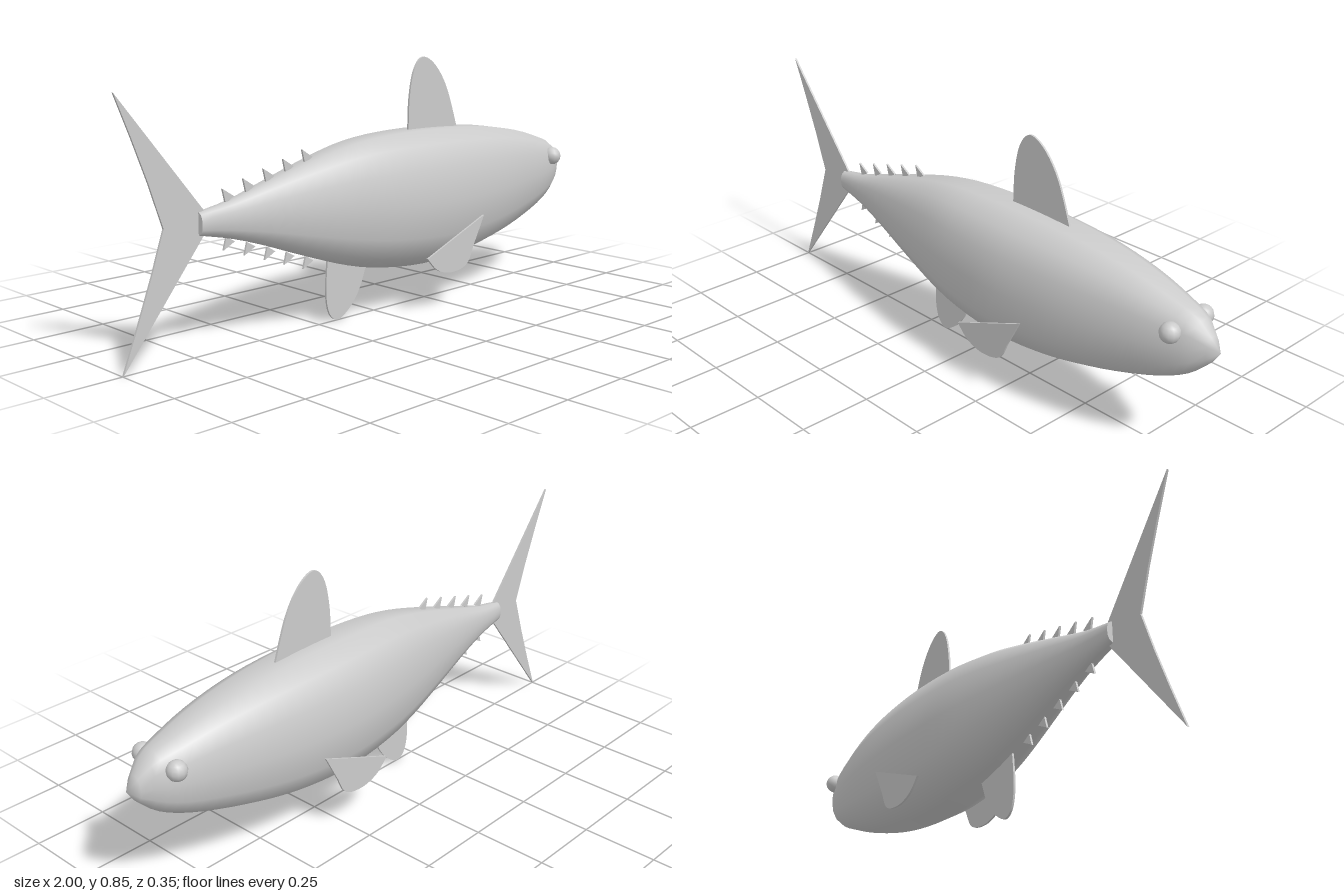
import * as THREE from 'three';
import { mergeVertices } from 'three/addons/utils/BufferGeometryUtils.js';

const material = new THREE.MeshStandardMaterial({ color: 0xcccccc });
const finMaterial = new THREE.MeshStandardMaterial({ color: 0xcccccc, side: THREE.DoubleSide });
const SIDES = 14;
const POWER = 0.85; // slightly squared-off oval section

// x, top height, bottom height, half width
const PROFILE = [
  [-0.725, 0.449, 0.380, 0.024], [-0.607, 0.470, 0.353, 0.038], [-0.473, 0.508, 0.310, 0.063],
  [-0.313, 0.553, 0.251, 0.096], [-0.152, 0.591, 0.198, 0.129], [0, 0.609, 0.166, 0.154],
  [0.195, 0.614, 0.149, 0.170], [0.382, 0.608, 0.160, 0.166], [0.543, 0.594, 0.187, 0.150],
  [0.703, 0.567, 0.230, 0.122], [0.837, 0.530, 0.278, 0.090], [0.928, 0.494, 0.332, 0.055],
  [0.995, 0.412, 0.412, 0],
];

const bend = (v) => Math.sign(v) * Math.abs(v) ** POWER;

// Skin a list of [x, top, bottom, halfWidth] sections running towards +x
function loft(sections) {
  const positions = [], index = [];
  const flat = Math.cos(Math.PI / SIDES) ** POWER;
  sections.forEach(([x, top, bottom, width], i) => {
    const ry = (top - bottom) / 2 / flat;
    for (let j = 0; j < SIDES; j++) {
      const a = ((j + 0.5) / SIDES) * Math.PI * 2;
      positions.push(x, (top + bottom) / 2 + ry * bend(Math.cos(a)), width * bend(Math.sin(a)));
      if (i === sections.length - 1) continue;
      const p = i * SIDES + j, q = i * SIDES + ((j + 1) % SIDES);
      index.push(p, q, p + SIDES, q, q + SIDES, p + SIDES);
    }
  });
  let geometry = new THREE.BufferGeometry();
  geometry.setAttribute('position', new THREE.Float32BufferAttribute(positions, 3));
  geometry.setIndex(index);
  geometry = mergeVertices(geometry, 1e-5);
  geometry.computeVertexNormals();
  return geometry;
}

// Thin plate in the xy plane, centred on z
function plate(shape, thickness = 0.007) {
  const geometry = new THREE.ExtrudeGeometry(shape, { depth: thickness, bevelEnabled: false, curveSegments: 24 });
  return geometry.translate(0, 0, -thickness / 2);
}

// Fin outline: smooth curve through the points, closed by a straight base
function curvedFin(points) {
  const shape = new THREE.Shape();
  shape.moveTo(...points[0]);
  shape.splineThru(points.slice(1).map((p) => new THREE.Vector2(...p)));
  shape.closePath();
  return plate(shape);
}

const polygonFin = (points) => plate(new THREE.Shape(points.map((p) => new THREE.Vector2(...p))));

export function createModel() {
  const group = new THREE.Group();
  const add = (name, geometry, mat = finMaterial, z = 0) => {
    const mesh = new THREE.Mesh(geometry, mat);
    mesh.name = name;
    mesh.position.z = z;
    group.add(mesh);
    return mesh;
  };

  // Body: smooth the profile, keeping the nose a straight cone
  const heights = new THREE.CatmullRomCurve3(PROFILE.map(([x, t, b]) => new THREE.Vector3(x, t, b)), false, 'catmullrom');
  const widths = new THREE.CatmullRomCurve3(PROFILE.map(([x, , , w]) => new THREE.Vector3(x, w, 0)), false, 'catmullrom');
  const spans = PROFILE.length - 1, steps = (spans - 1) * 3;
  const sections = [];
  for (let i = 0; i <= steps; i++) {
    const t = i / (spans * 3);
    const h = heights.getPoint(t);
    sections.push([h.x, h.y, h.z, widths.getPoint(t).y]);
  }
  sections.push([0.965, 0.453, 0.368, 0.03], PROFILE[spans]);
  add('body', loft(sections), material);

  // Flat end of the tail stalk
  const end = PROFILE[0], middle = (end[1] + end[2]) / 2;
  add('tailStalkCap', loft([[end[0], middle, middle, 0], end]), material);

  // Upright fins on the centre line
  add('dorsalFin', curvedFin([[0.163, 0.6], [0.168, 0.72], [0.19, 0.815], [0.233, 0.858],
    [0.295, 0.828], [0.355, 0.745], [0.408, 0.605]]));
  add('analFin', curvedFin([[-0.213, 0.225], [-0.22, 0.107], [-0.205, 0.037], [-0.168, 0.012],
    [-0.115, 0.043], [-0.07, 0.1], [-0.038, 0.18]]));
  add('tailFin', polygonFin([[-1, 0.82], [-0.945, 0.685], [-0.895, 0.555], [-0.848, 0.417],
    [-0.895, 0.28], [-0.945, 0.148], [-1, 0.01], [-0.7, 0.385], [-0.7, 0.448]]));

  // Finlets in two rows along the tail stalk
  for (let i = 0; i < 5; i++) {
    const x = -0.634 + i * 0.079;
    const top = 0.508 + i * 0.0215, bottom = 0.32 - i * 0.028;
    add('upperFinlet', polygonFin([[x, top], [x + 0.011, top - 0.045], [x + 0.043, top - 0.027]]));
    add('lowerFinlet', polygonFin([[x, bottom], [x + 0.043, bottom + 0.022], [x + 0.011, bottom + 0.04]]));
  }

  // Mirrored side fins and eyes
  const sideFin = curvedFin([[0.083, 0.203], [0.13, 0.158], [0.2, 0.138], [0.278, 0.155],
    [0.318, 0.225], [0.366, 0.314]]);
  const eye = new THREE.SphereGeometry(0.033, 12, 8);
  for (const side of [1, -1]) {
    add(side > 0 ? 'frontPectoralFin' : 'backPectoralFin', sideFin, finMaterial, side * 0.17);
    add(side > 0 ? 'frontEye' : 'backEye', eye, material, side * 0.076).position.set(0.87, 0.458, side * 0.076);
  }
  return group;
}
